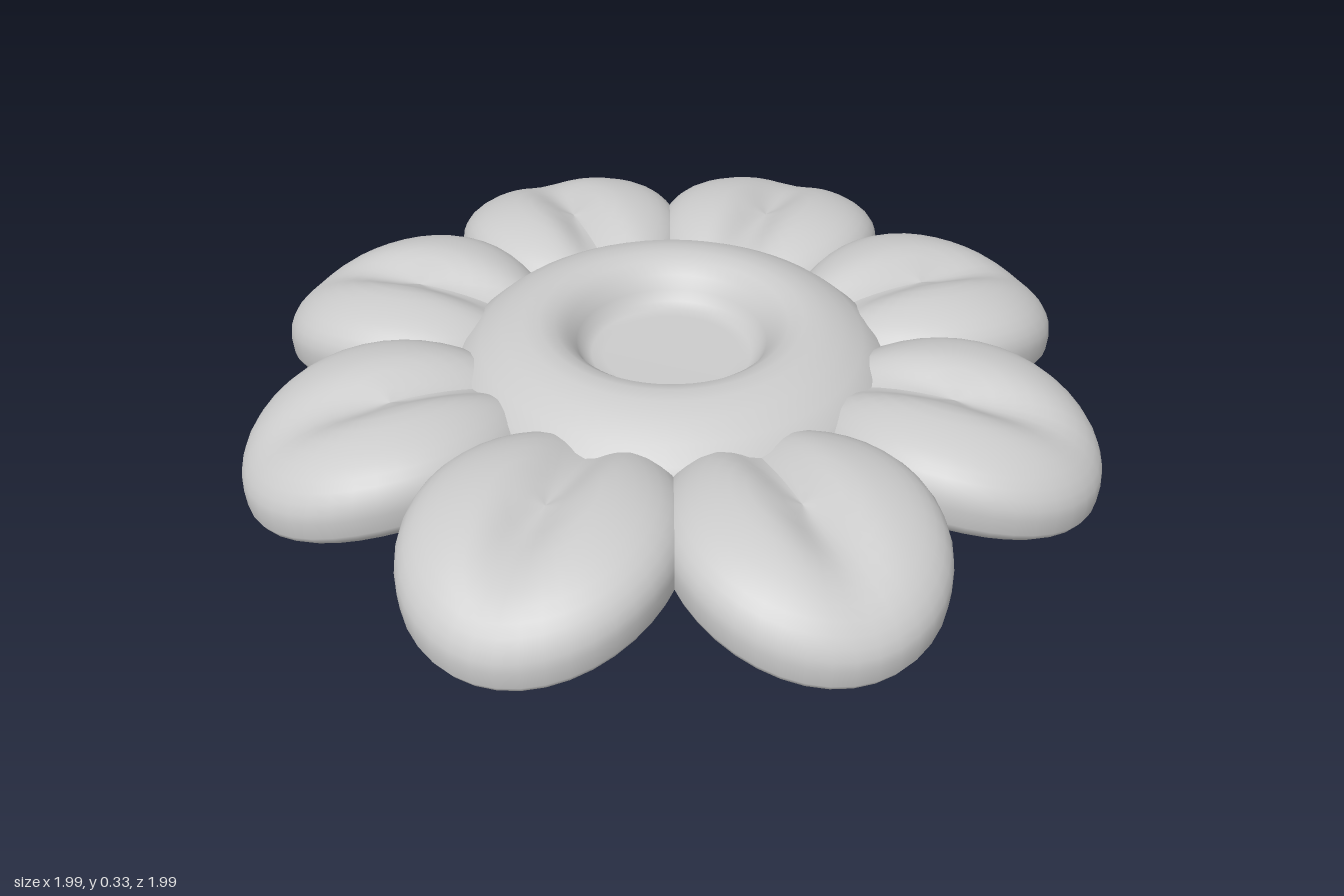
import * as THREE from 'three';

const material = new THREE.MeshStandardMaterial({ color: 0xcccccc });

// Puffy petal pointing along +x: a sphere bent upward at the sides, creased on top, flattened below
function petalGeometry() {
  const geo = new THREE.SphereGeometry(1, 40, 24);
  const p = geo.attributes.position;
  for (let i = 0; i < p.count; i++) {
    const u = p.getX(i), v = p.getY(i), w = p.getZ(i);
    const mid = 0.14 + 0.06 * w * w - 0.015 * u;
    const fade = 1 - THREE.MathUtils.smoothstep(u, 0.1, 0.9);
    const crease = 0.05 * Math.exp(-((w / 0.22) ** 2)) * (0.3 + 0.7 * fade);
    const y = v > 0 ? mid + v * (0.18 - crease) : mid - 0.1 * Math.abs(v) ** 0.45;
    p.setXYZ(i, 0.68 + 0.343 * u, y, 0.293 * w * (1 + 0.06 * u));
  }
  geo.computeVertexNormals();
  return geo;
}

// Cushion ring with a dished floor on both faces, as one closed lathe profile
function centreGeometry() {
  const mid = 0.168;
  const upper = [
    [0.525, 0], [0.518, 0.045], [0.49, 0.09], [0.45, 0.122], [0.40, 0.15],
    [0.35, 0.165], [0.31, 0.167], [0.275, 0.158], [0.245, 0.135],
    [0.225, 0.105], [0.21, 0.08], [0.19, 0.068], [0.16, 0.066], [0, 0.066],
  ];
  const lower = upper.slice(1).reverse().map(([r, y]) => [r, -y]);
  const points = [...lower, ...upper].map(([r, y]) => new THREE.Vector2(r, mid + y));
  return new THREE.LatheGeometry(points, 64);
}

export function createModel() {
  const flower = new THREE.Group();
  flower.name = 'flower';

  const centre = new THREE.Mesh(centreGeometry(), material);
  centre.name = 'flowerCentre';
  flower.add(centre);

  // Eight petals evenly spaced, turned slightly off the axes
  const geo = petalGeometry();
  for (let i = 0; i < 8; i++) {
    const petal = new THREE.Mesh(geo, material);
    petal.name = `petal${i + 1}`;
    petal.rotation.y = THREE.MathUtils.degToRad(-15 + i * 45);
    flower.add(petal);
  }
  return flower;
}
